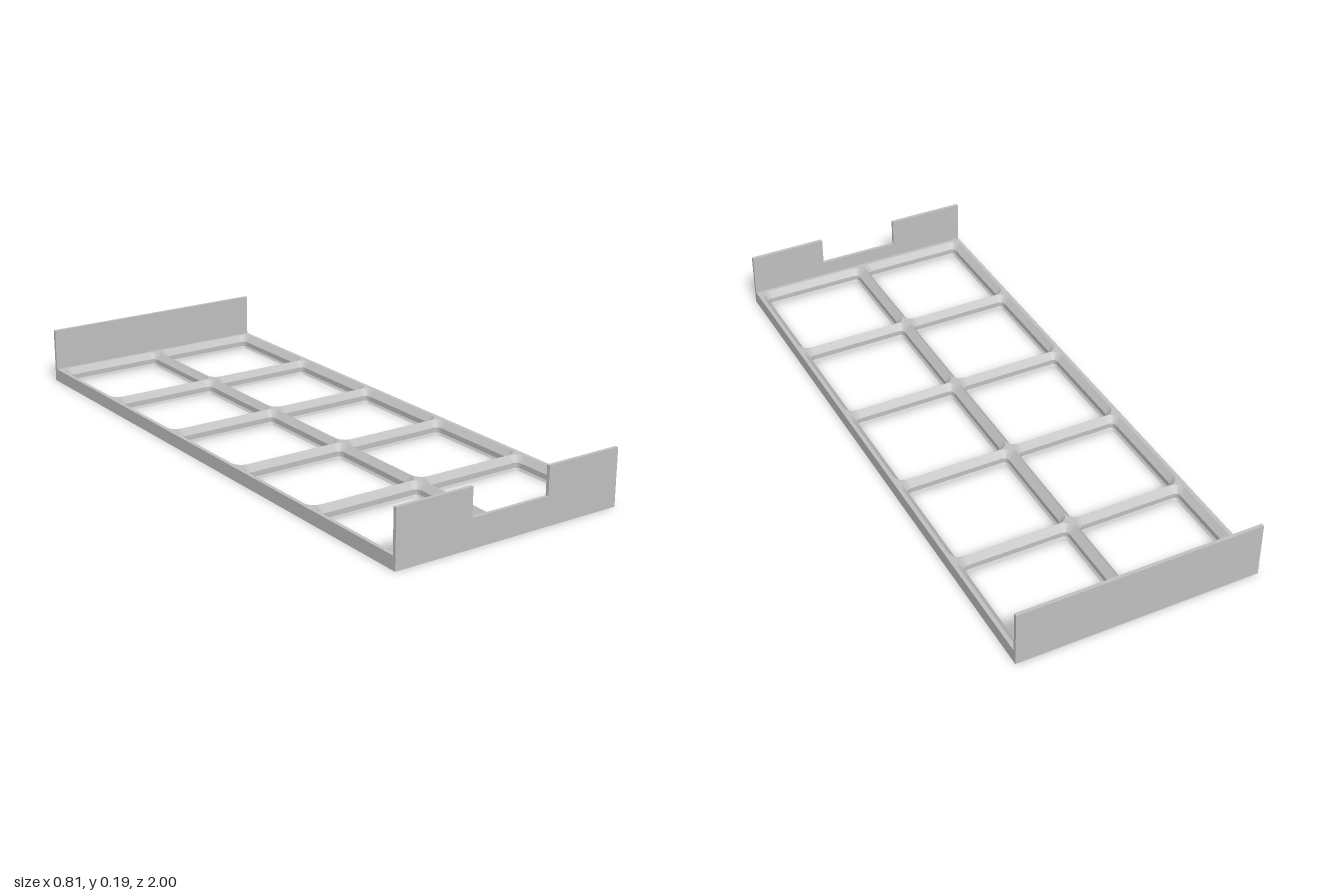
import * as THREE from 'three';
import { toCreasedNormals } from 'three/addons/utils/BufferGeometryUtils.js';

const PITCH = 0.391, COLS = 2, ROWS = 5;
const HALF_X = 0.403, HALF_Z = 1, WALL = 0.0115;
const WALL_H = 0.186, NOTCH_X = 0.139, NOTCH_Y = 0.093;

// Pocket profile from top to bottom: height, half size, corner radius
const PROFILE = [
  [0.0435, 0.195, 0.0372],
  [0.0233, 0.1755, 0.0172],
  [0.0065, 0.1755, 0.0172],
  [0, 0.169, 0.0107],
];
const TOP = PROFILE[0], BOTTOM = PROFILE[PROFILE.length - 1];

// Rounded square outline, counter-clockwise
function roundedSquare(half, radius, cx = 0, cy = 0, steps = 8) {
  const pts = [];
  for (let corner = 0; corner < 4; corner++) {
    const mid = Math.PI / 4 + corner * Math.PI / 2;
    const ox = Math.sign(Math.cos(mid)) * (half - radius);
    const oy = Math.sign(Math.sin(mid)) * (half - radius);
    for (let i = 0; i <= steps; i++) {
      const a = (corner + i / steps) * Math.PI / 2;
      pts.push(new THREE.Vector2(cx + ox + radius * Math.cos(a), cy + oy + radius * Math.sin(a)));
    }
  }
  return pts;
}

// Inner faces of one pocket, lofted down through the profile
function pocketGeometry() {
  const pos = [], index = [];
  const n = roundedSquare(1, 0.1).length;
  PROFILE.forEach(([y, half, radius], r) => {
    for (const p of roundedSquare(half, radius)) pos.push(p.x, y, -p.y);
    if (r === PROFILE.length - 1) return;
    for (let i = 0; i < n; i++) {
      const j = (i + 1) % n, a = r * n + i, b = r * n + j, c = a + n, d = b + n;
      index.push(a, b, c, b, d, c);
    }
  });
  const geo = new THREE.BufferGeometry();
  geo.setAttribute('position', new THREE.Float32BufferAttribute(pos, 3));
  geo.setIndex(index);
  return toCreasedNormals(geo, 0.5);
}

export function createModel() {
  const model = new THREE.Group();
  model.name = 'gridTray';
  const grey = new THREE.MeshStandardMaterial({ color: 0xc0c0c0 });
  grey.name = 'grey';

  const add = (name, geo, x = 0, y = 0, z = 0) => {
    const mesh = new THREE.Mesh(geo, grey);
    mesh.name = name;
    mesh.position.set(x, y, z);
    model.add(mesh);
    return mesh;
  };

  const centres = [];
  for (let c = 0; c < COLS; c++)
    for (let r = 0; r < ROWS; r++)
      centres.push([(c - (COLS - 1) / 2) * PITCH, (r - (ROWS - 1) / 2) * PITCH]);

  // Flat top and bottom of the grid, pierced by the pockets
  const frameZ = HALF_Z - WALL;
  const face = ([, half, radius]) => {
    const shape = new THREE.Shape([
      new THREE.Vector2(-HALF_X, -frameZ), new THREE.Vector2(HALF_X, -frameZ),
      new THREE.Vector2(HALF_X, frameZ), new THREE.Vector2(-HALF_X, frameZ),
    ]);
    for (const [x, z] of centres) shape.holes.push(new THREE.Path(roundedSquare(half, radius, x, z)));
    return new THREE.ShapeGeometry(shape);
  };
  add('gridTop', face(TOP).rotateX(-Math.PI / 2), 0, TOP[0], 0);
  add('gridBottom', face(BOTTOM).rotateX(Math.PI / 2));

  // Long outer sides of the grid
  for (const s of [-1, 1]) {
    const side = new THREE.PlaneGeometry(2 * frameZ, TOP[0]).rotateY(s * Math.PI / 2);
    add(s > 0 ? 'leftSide' : 'rightSide', side, s * HALF_X, TOP[0] / 2, 0);
  }

  // Stepped pocket walls
  const pocket = pocketGeometry();
  for (const [x, z] of centres) add('pocket', pocket, x, 0, z);

  // End walls: plain at the back, notched at the front
  const outline = (notched) => {
    const s = new THREE.Shape();
    s.moveTo(-HALF_X, 0);
    s.lineTo(HALF_X, 0);
    s.lineTo(HALF_X, WALL_H);
    if (notched) {
      s.lineTo(NOTCH_X, WALL_H);
      s.lineTo(NOTCH_X, NOTCH_Y);
      s.lineTo(-NOTCH_X, NOTCH_Y);
      s.lineTo(-NOTCH_X, WALL_H);
    }
    s.lineTo(-HALF_X, WALL_H);
    s.closePath();
    return new THREE.ExtrudeGeometry(s, { depth: WALL, bevelEnabled: false });
  };
  add('frontWall', outline(true), 0, 0, HALF_Z - WALL);
  add('backWall', outline(false), 0, 0, -HALF_Z);

  return model;
}
